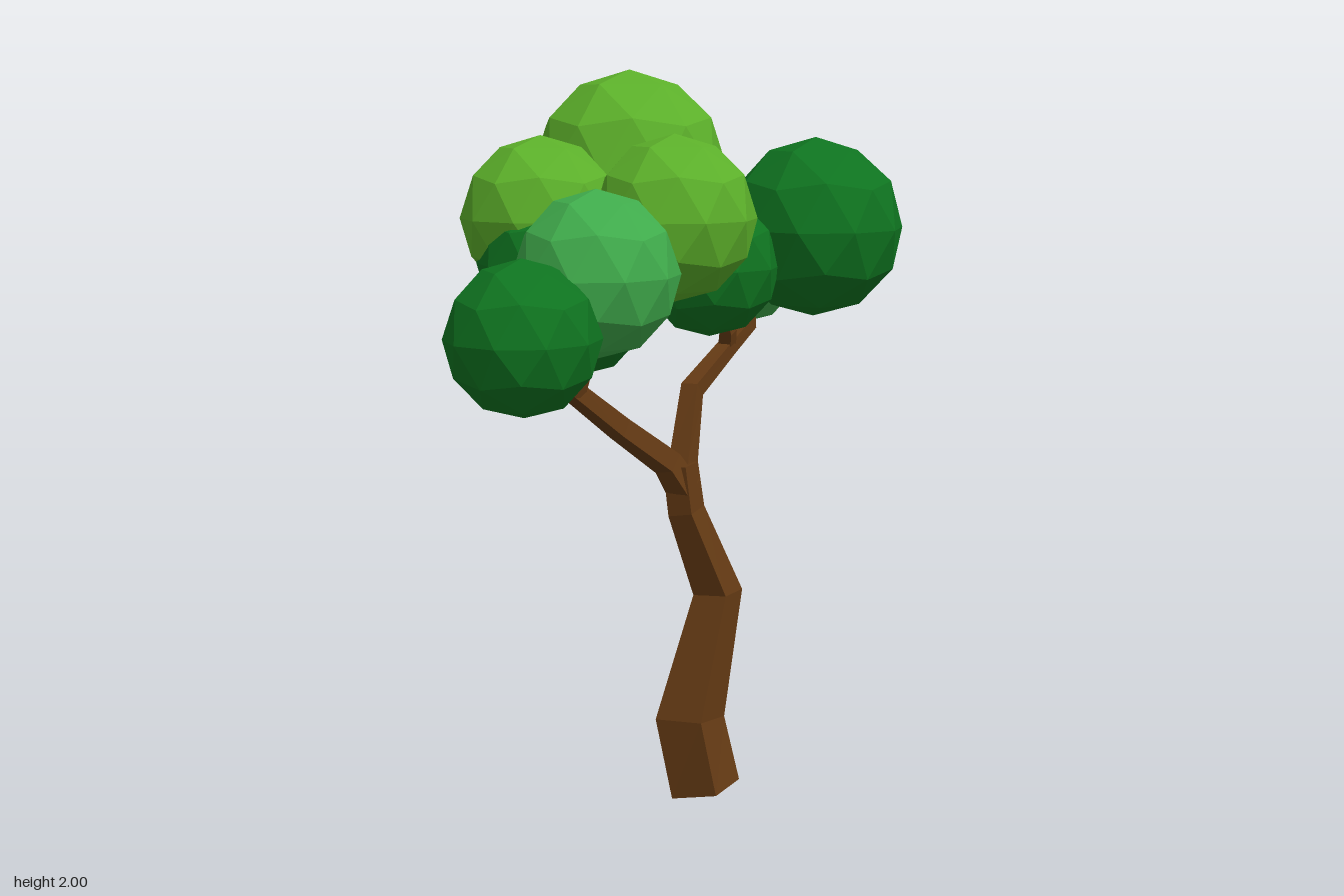
import * as THREE from 'three';

const bark = new THREE.MeshStandardMaterial({ color: 0x643a14, flatShading: true });
const leaf = (color) => new THREE.MeshStandardMaterial({ color, flatShading: true });
const light = leaf(0x5cb02a), mid = leaf(0x40ac4c), dark = leaf(0x0f7420);

// Square limb swept along points [x, y, z, width], with mitred joints and closed ends
function limb(name, points) {
  const P = points.map((p) => new THREE.Vector3(p[0], p[1], p[2]));
  const ref = new THREE.Vector3(1, 0, 0.25).normalize();
  const pos = [], index = [], last = P.length - 1;
  P.forEach((p, i) => {
    const t = new THREE.Vector3();
    if (i > 0) t.add(p.clone().sub(P[i - 1]).normalize());
    if (i < last) t.add(P[i + 1].clone().sub(p).normalize());
    t.normalize();
    const u = ref.clone().addScaledVector(t, -ref.dot(t)).normalize();
    const v = t.clone().cross(u);
    const h = points[i][3] / 2;
    for (const [a, b] of [[1, 1], [-1, 1], [-1, -1], [1, -1]]) {
      const c = p.clone().addScaledVector(u, a * h).addScaledVector(v, b * h);
      pos.push(c.x, c.y, c.z);
    }
  });
  for (let i = 0; i < last; i++) {
    for (let k = 0; k < 4; k++) {
      const a = i * 4 + k, b = i * 4 + (k + 1) % 4;
      index.push(a, b, b + 4, a, b + 4, a + 4);
    }
  }
  const e = last * 4;
  index.push(0, 2, 1, 0, 3, 2, e, e + 1, e + 2, e, e + 2, e + 3);
  const g = new THREE.BufferGeometry();
  g.setAttribute('position', new THREE.Float32BufferAttribute(pos, 3));
  g.setIndex(index);
  g.computeVertexNormals();
  const m = new THREE.Mesh(g, bark);
  m.name = name;
  return m;
}

export function createModel() {
  const tree = new THREE.Group();
  tree.name = 'tree';

  // Crooked trunk and its two forked branches
  tree.add(
    limb('trunk', [
      [0.125, 0.02, 0.11, 0.142], [0.075, 0.22, 0.093, 0.142], [0.128, 0.56, -0.012, 0.102],
      [0.047, 0.8, 0.03, 0.075], [0.03, 0.93, 0.03, 0.072],
    ]),
    limb('frontBranch', [
      [0.04, 0.86, 0.03, 0.07], [0.005, 0.94, 0.07, 0.06], [-0.09, 1.06, 0.21, 0.052],
      [-0.18, 1.19, 0.36, 0.044], [-0.21, 1.3, 0.53, 0.036],
    ]),
    limb('frontTwig', [[-0.17, 1.17, 0.35, 0.042], [-0.15, 1.24, 0.345, 0.04], [-0.12, 1.37, 0.33, 0.034]]),
    limb('backBranch', [
      [0.035, 0.86, 0.035, 0.07], [0.03, 0.93, 0.0, 0.06], [0.03, 1.12, -0.1, 0.05],
      [0.085, 1.215, -0.31, 0.042], [0.1, 1.255, -0.52, 0.038], [0.07, 1.38, -0.62, 0.034],
    ]),
    limb('backTwig', [[0.08, 1.2, -0.31, 0.04], [0.09, 1.26, -0.285, 0.038], [0.07, 1.38, -0.25, 0.034]]),
  );

  // Faceted leaf clumps, each with one corner pointing straight up
  const ball = new THREE.IcosahedronGeometry(1, 1);
  ball.rotateZ(Math.atan(2 / (1 + Math.sqrt(5))));
  const clumps = [
    ['crownClump', light, -0.187, 1.722, -0.23, 0.279],
    ['rightClump', light, -0.343, 1.605, 0.09, 0.22],
    ['leftClump', light, 0.018, 1.607, 0.05, 0.223],
    ['backLeftClump', dark, 0.305, 1.552, -0.467, 0.26],
    ['backClump', mid, 0.06, 1.41, -0.637, 0.167],
    ['frontMiddleClump', mid, -0.1, 1.486, 0.37, 0.214],
    ['frontClump', dark, -0.215, 1.35, 0.604, 0.195],
    ['lowerRightClump', dark, -0.297, 1.37, -0.045, 0.218],
    ['innerFrontClump', dark, -0.3, 1.49, 0.14, 0.2],
    ['innerBackClump', dark, 0.05, 1.455, -0.22, 0.2],
  ];
  for (const [name, material, x, y, z, r] of clumps) {
    const m = new THREE.Mesh(ball, material);
    m.name = name;
    m.position.set(x, y, z);
    m.scale.setScalar(r);
    tree.add(m);
  }
  return tree;
}
